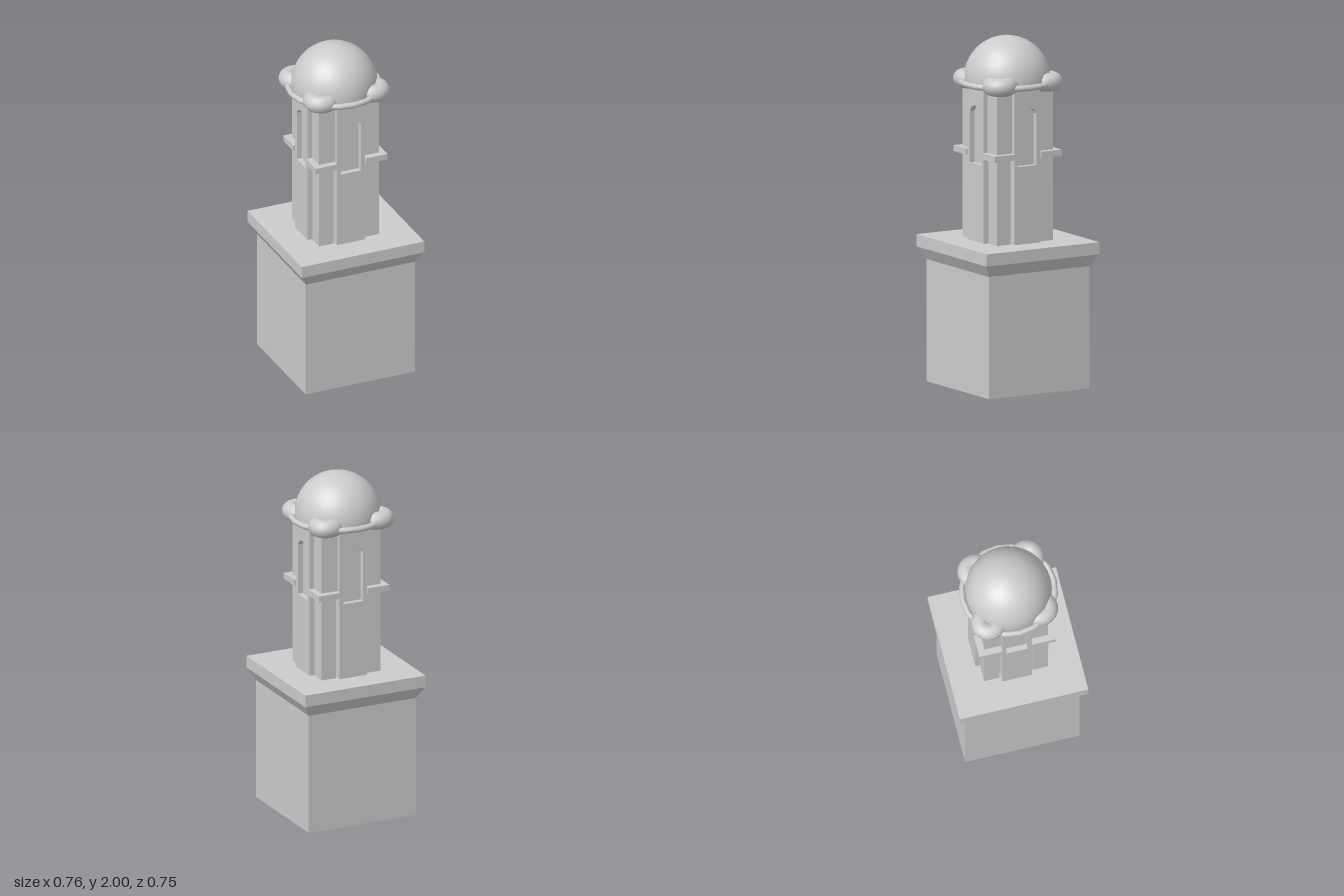
import * as THREE from 'three';

const grey = new THREE.MeshStandardMaterial({ color: 0xcccccc });
const flat = new THREE.MeshStandardMaterial({ color: 0xcccccc, flatShading: true });

function add(parent, name, geometry, x = 0, y = 0, z = 0, material = flat) {
  const mesh = new THREE.Mesh(geometry, material);
  mesh.name = name;
  mesh.position.set(x, y, z);
  parent.add(mesh);
  return mesh;
}

// Box given by its bottom and top heights
function block(parent, name, w, d, y0, y1, x = 0, z = 0) {
  return add(parent, name, new THREE.BoxGeometry(w, y1 - y0, d), x, (y0 + y1) / 2, z);
}

// Flat wall panel with an arched window opening
function panelGeometry(depth) {
  const shape = new THREE.Shape();
  shape.moveTo(-0.086, 0.84);
  shape.lineTo(0.086, 0.84);
  shape.lineTo(0.086, 1.735);
  shape.lineTo(-0.086, 1.735);
  shape.closePath();
  const hole = new THREE.Path();
  hole.moveTo(-0.061, 1.285);
  hole.lineTo(-0.061, 1.58);
  hole.quadraticCurveTo(-0.045, 1.618, 0, 1.618);
  hole.quadraticCurveTo(0.045, 1.618, 0.061, 1.58);
  hole.lineTo(0.061, 1.285);
  hole.closePath();
  shape.holes.push(hole);
  return new THREE.ExtrudeGeometry(shape, { depth, bevelEnabled: false, curveSegments: 5 });
}

export function createModel() {
  const model = new THREE.Group();
  model.name = 'domedTower';

  // Pedestal with a flared cornice
  const pedestal = new THREE.Group();
  pedestal.name = 'pedestal';
  model.add(pedestal);
  block(pedestal, 'pedestalBody', 0.675, 0.665, 0, 0.7);
  const flare = new THREE.CylinderGeometry(0.378 * Math.SQRT2, 0.337 * Math.SQRT2, 0.07, 4, 1);
  flare.rotateY(Math.PI / 4);
  flare.scale(1, 1, 0.987);
  add(pedestal, 'corniceFlare', flare, 0, 0.735, 0);
  block(pedestal, 'corniceSlab', 0.757, 0.746, 0.77, 0.84);

  // Tower shaft
  const tower = new THREE.Group();
  tower.name = 'tower';
  tower.position.x = -0.003;
  model.add(tower);
  block(tower, 'core', 0.31, 0.31, 0.84, 1.735);

  // One windowed panel on each side
  const panel = panelGeometry(0.032);
  for (let i = 0; i < 4; i++) {
    const side = new THREE.Group();
    side.name = 'windowSide';
    side.rotation.y = i * Math.PI / 2;
    tower.add(side);
    add(side, 'windowPanel', panel, 0, 0, 0.18);
    block(side, 'windowBack', 0.17, 0.03, 0.84, 1.73, 0, 0.166);
  }

  // Corner piers with ledges
  for (const sx of [-1, 1]) {
    for (const sz of [-1, 1]) {
      block(tower, 'lowerPier', 0.09, 0.09, 0.84, 1.34, sx * 0.14, sz * 0.14);
      block(tower, 'upperPier', 0.1, 0.1, 1.34, 1.735, sx * 0.135, sz * 0.135);
      block(tower, 'pierLedge', 0.134, 0.134, 1.325, 1.36, sx * 0.155, sz * 0.155);
    }
  }

  // Dome with a short drum below it
  const roof = new THREE.Group();
  roof.name = 'roof';
  roof.position.x = -0.01;
  model.add(roof);
  add(roof, 'dome', new THREE.SphereGeometry(0.245, 32, 16, 0, Math.PI * 2, 0, Math.PI / 2), 0, 1.755, 0, grey);
  add(roof, 'drum', new THREE.CylinderGeometry(0.245, 0.245, 0.03, 32), 0, 1.74, 0, grey);

  // Rim ring around the dome
  const ring = new THREE.TorusGeometry(0.263, 0.017, 10, 20);
  ring.rotateX(Math.PI / 2);
  add(roof, 'rimRing', ring, 0, 1.74, 0, grey);

  // Rounded cushions at the corners
  const cushion = new THREE.TorusGeometry(0.05, 0.052, 14, 24);
  cushion.rotateX(Math.PI / 2);
  for (const [x, z] of [[-0.165, -0.155], [-0.15, 0.147], [0.152, -0.155], [0.165, 0.147]]) {
    add(roof, 'cornerCushion', cushion, x, 1.748, z, grey);
  }
  return model;
}
